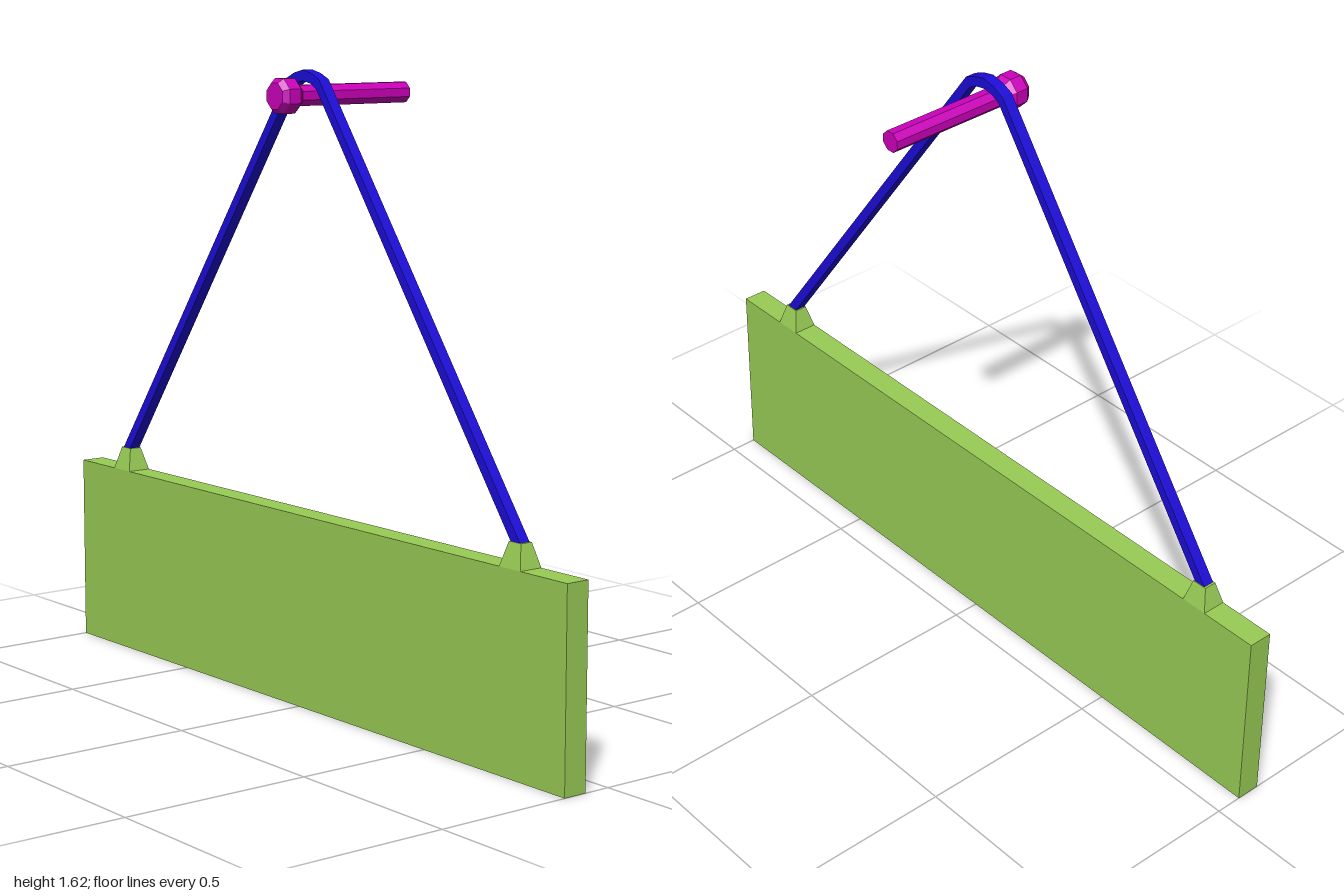
import * as THREE from 'three';

const mat = (color) => new THREE.MeshStandardMaterial({ color, flatShading: true });

export function createModel() {
  const group = new THREE.Group();
  const green = mat(0x99cc55), blue = mat(0x1d0cd8), magenta = mat(0xcc00bb);
  const zPlane = 0.103;
  const add = (name, geometry, material, x, y, z) => {
    const mesh = new THREE.Mesh(geometry, material);
    mesh.name = name;
    mesh.position.set(x, y, z);
    group.add(mesh);
    return mesh;
  };

  // Hanging board
  add('board', new THREE.BoxGeometry(2, 0.5, 0.065), green, 0, 0.25, zPlane);

  // Tapered lugs on the top edge
  for (const side of [-1, 1]) {
    const lug = new THREE.BoxGeometry(0.074, 0.06, 0.065);
    const p = lug.attributes.position;
    for (let i = 0; i < p.count; i++) {
      if (p.getY(i) > 0) {
        p.setX(i, p.getX(i) * 0.56);
        p.setZ(i, p.getZ(i) * 0.52);
      }
    }
    lug.computeVertexNormals();
    add(side > 0 ? 'leftLug' : 'rightLug', lug, green, side * 0.805, 0.53, zPlane);
  }

  // Flat cord bent over the peg: outer edge, then inner edge, each mirrored
  const mirrored = (half) => [
    ...half.map(([x, y]) => new THREE.Vector2(-x, y)),
    ...half.slice(0, -1).reverse().map(([x, y]) => new THREE.Vector2(x, y)),
  ];
  const outer = mirrored([[0.822, 0.557], [0.066, 1.598], [0.035, 1.612], [0, 1.62]]);
  const inner = mirrored([[0.79, 0.557], [0.053, 1.575], [0.03, 1.587], [0, 1.593]]);
  const cord = new THREE.ExtrudeGeometry(new THREE.Shape([...outer, ...inner.reverse()]), {
    depth: 0.03, bevelEnabled: false,
  });
  add('cord', cord, blue, 0, 0, zPlane - 0.015);

  // Peg with a chamfered head, turned along z
  const profile = [[0, -0.205], [0.028, -0.205], [0.028, 0.142], [0.035, 0.142], [0.047, 0.156],
    [0.047, 0.19], [0.035, 0.205], [0, 0.205]].map(([r, z]) => new THREE.Vector2(r, z));
  const peg = add('peg', new THREE.LatheGeometry(profile, 8, Math.PI / 8), magenta, 0, 1.557, 0);
  peg.rotation.x = Math.PI / 2;

  return group;
}
